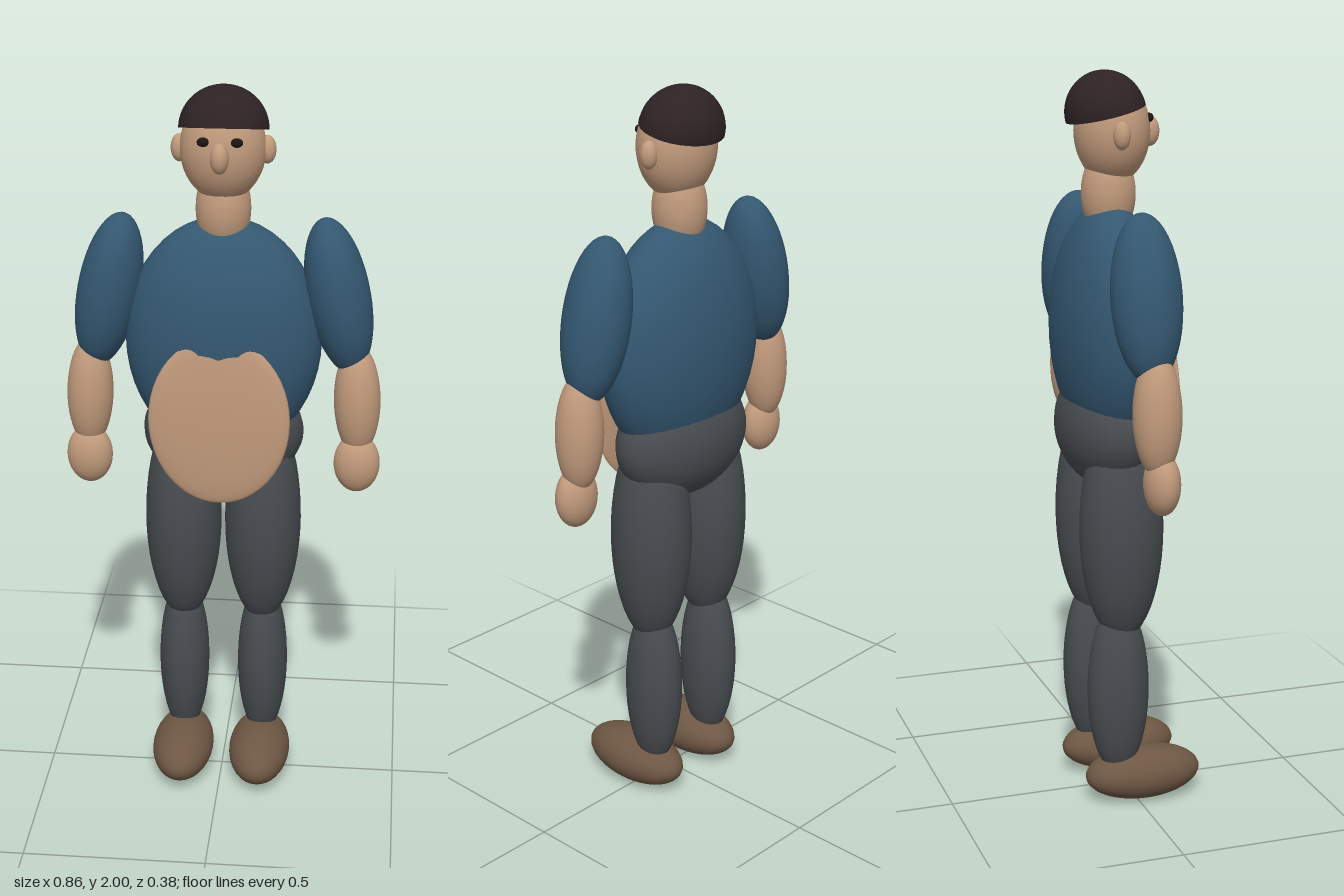
import * as THREE from 'three';

const material = (name, color) => {
  const m = new THREE.MeshStandardMaterial({ color });
  m.name = name;
  return m;
};

export function createModel() {
  const skin = material('skin', 0xc29b7c);
  const shirt = material('shirt blue', 0x345872);
  const trousers = material('trouser grey', 0x484c50);
  const shoe = material('shoe brown', 0x6e5744);
  const hair = material('hair dark brown', 0x2e2224);
  const eye = material('eye black', 0x1c1516);
  hair.side = THREE.DoubleSide;

  const model = new THREE.Group();
  model.name = 'standingMan';
  const ball = new THREE.SphereGeometry(1, 32, 24);

  // Every body part is a stretched ball
  function blob(name, mat, pos, radii, tiltZ = 0, geometry = ball) {
    const mesh = new THREE.Mesh(geometry, mat);
    mesh.name = name;
    mesh.position.set(...pos);
    mesh.scale.set(...radii);
    mesh.rotation.z = tiltZ;
    model.add(mesh);
    return mesh;
  }

  // Mirrored pair, given for the left (+x) side
  function pair(name, mat, [x, y, z], radii, tiltZ = 0) {
    blob('left' + name, mat, [x, y, z], radii, tiltZ);
    blob('right' + name, mat, [-x, y, z], radii, -tiltZ);
  }

  // Trunk
  blob('torso', shirt, [0, 1.32, -0.04], [0.265, 0.335, 0.149]);
  blob('belly', skin, [0, 1.13, 0.094], [0.19, 0.24, 0.022]);
  blob('pelvis', trousers, [0, 1.05, -0.05], [0.22, 0.165, 0.13]);

  // Head
  blob('neck', skin, [0, 1.68, -0.04], [0.073, 0.12, 0.073]);
  blob('head', skin, [0, 1.843, -0.03], [0.112, 0.14, 0.1]);
  blob('nose', skin, [0, 1.84, 0.075], [0.024, 0.04, 0.027]);
  pair('Ear', skin, [0.114, 1.838, -0.04], [0.023, 0.037, 0.023]);
  pair('Eye', eye, [0.043, 1.878, 0.059], [0.016, 0.012, 0.011]);

  // Hair: half ball tipped back
  const cap = new THREE.SphereGeometry(1, 32, 16, 0, Math.PI * 2, 0, Math.PI / 2);
  blob('hair', hair, [0, 1.888, -0.047], [0.118, 0.113, 0.107], 0, cap).rotation.x = -0.24;

  // Arms
  pair('UpperArm', shirt, [0.307, 1.445, -0.04], [0.085, 0.218, 0.093], 0.2);
  pair('Forearm', skin, [0.364, 1.155, -0.03], [0.063, 0.16, 0.064], 0.03);
  pair('Hand', skin, [0.368, 0.975, -0.018], [0.063, 0.084, 0.047]);

  // Legs
  pair('Thigh', trousers, [0.111, 0.79, -0.041], [0.106, 0.32, 0.115]);
  pair('Calf', trousers, [0.113, 0.33, -0.051], [0.071, 0.25, 0.086]);
  pair('Shoe', shoe, [0.111, 0.074, 0.022], [0.087, 0.074, 0.165]);

  return model;
}
